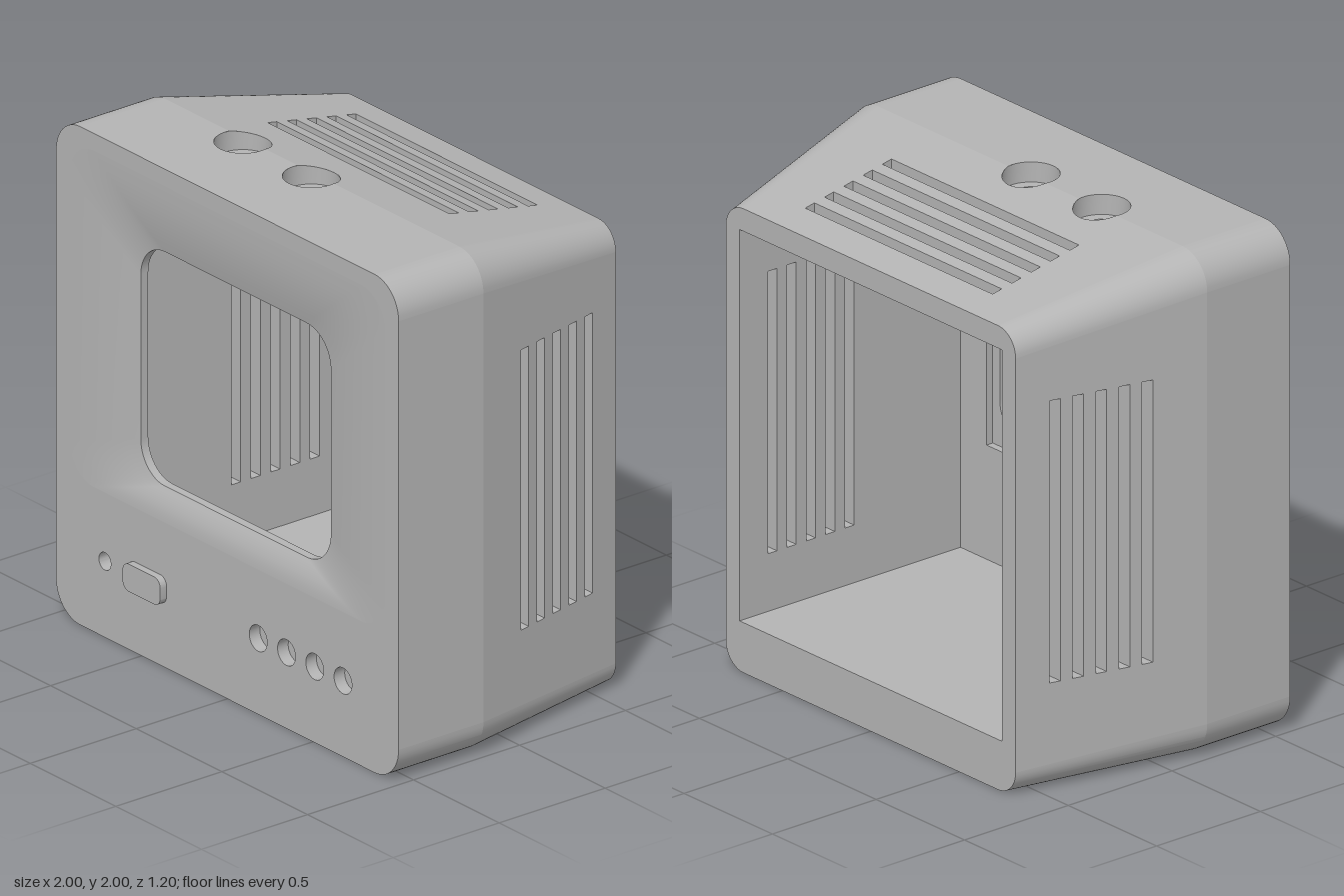
import * as THREE from 'three';
import { toCreasedNormals } from 'three/addons/utils/BufferGeometryUtils.js';

const FRONT = 0.57, BEND = 0.17, BACK = -0.6;      // depth stations of the shell
const CEILING = 1.76, FLOOR = 0.2, INNER = 0.742;  // inner box
const INNER_FRONT = 0.465, REBATE = 0.495, RIM = 0.53;

export function createModel() {
  const model = new THREE.Group();
  const plastic = new THREE.MeshStandardMaterial({ color: 0xb4b4b4, side: THREE.DoubleSide });
  plastic.name = 'greyPlastic';

  const add = (name, geo, crease = 0.2) => {
    const mesh = new THREE.Mesh(toCreasedNormals(geo, crease), plastic);
    mesh.name = name;
    model.add(mesh);
    return mesh;
  };

  // Flat outline with holes, placed in space by map(u, v)
  const panel = (name, shape, holes, map) => {
    const s = Array.isArray(shape) ? new THREE.Shape(shape) : shape;
    s.holes = holes.map((h) => new THREE.Path(h));
    const geo = new THREE.ShapeGeometry(s, 24);
    const p = geo.attributes.position;
    for (let i = 0; i < p.count; i++) p.setXYZ(i, ...map(p.getX(i), p.getY(i)));
    return add(name, geo);
  };

  // Skin across rows of points
  const loft = (name, rows, closed = true, crease = 0.2) => {
    const n = rows[0].length, index = [];
    for (let r = 0; r < rows.length - 1; r++) {
      for (let i = 0; i < (closed ? n : n - 1); i++) {
        const j = (i + 1) % n, a = r * n, b = a + n;
        index.push(a + i, a + j, b + i, a + j, b + j, b + i);
      }
    }
    const geo = new THREE.BufferGeometry();
    geo.setAttribute('position', new THREE.Float32BufferAttribute(rows.flat(2), 3));
    geo.setIndex(index);
    geo.computeVertexNormals();
    return add(name, geo, crease);
  };
  // Wall of an opening between two placements of one outline
  const wall = (name, pts, mapA, mapB) =>
    loft(name, [mapA, mapB].map((m) => pts.map((p) => m(p.x, p.y))));

  const V = (x, y) => new THREE.Vector2(x, y);
  const rect = (x0, x1, y0, y1) => [V(x0, y0), V(x1, y0), V(x1, y1), V(x0, y1)];
  const arc = (cx, cy, r, from, to, n) => Array.from({ length: n + 1 }, (_, i) => {
    const a = from + (to - from) * i / n;
    return V(cx + r * Math.cos(a), cy + r * Math.sin(a));
  });
  const circle = (cx, cy, r) => arc(cx, cy, r, 0, Math.PI * 2, 32).slice(0, -1);
  // Four corner arcs, counter-clockwise from the upper right
  const corners = (x0, x1, y0, y1, r) => [
    [x1 - r, y1 - r], [x0 + r, y1 - r], [x0 + r, y0 + r], [x1 - r, y0 + r],
  ].map(([x, y], k) => arc(x, y, r, k * Math.PI / 2, (k + 1) * Math.PI / 2, 12));
  const roundRect = (...a) => corners(...a).flat();

  const atZ = (z) => (x, y) => [x, y, z];
  const atY = (y) => (x, z) => [x, y, z];
  const atX = (x) => (z, y) => [x, y, z];
  const taper = (z) => Math.max(0, (BEND - z) / (BEND - BACK));
  const roof = (x, z) => [x, 2 - 0.15 * taper(z), z];
  const flank = (s) => (z, y) => [s * (1 - 0.18 * taper(z)), y, z];

  // Rounded outer edges
  const frontOutline = [-1, 1, 0, 2, 0.14], backOutline = [-0.82, 0.82, 0, 1.85, 0.1];
  const sections = [[frontOutline, FRONT], [frontOutline, BEND], [backOutline, BACK]];
  for (let k = 0; k < 4; k++) {
    loft('roundedEdge', sections.map(([o, z]) => corners(...o)[k].map((p) => [p.x, p.y, z])), false);
  }

  // Front plate with dished surround and control openings
  const win = [-0.555, 0.555, 0.7, 1.64, 0.14];
  const dish = [-0.92, 0.92, 0.58, 1.93, 0.14];
  const dials = [0.18, 0.345, 0.51, 0.675].map((x) => circle(x, 0.305, 0.052));
  dials.push(circle(-0.715, 0.305, 0.035));
  panel('frontPlate', roundRect(...frontOutline), [roundRect(...dish), ...dials], atZ(FRONT));
  for (const d of dials) {
    wall('controlRecess', d, atZ(FRONT), atZ(FRONT - 0.05));
    panel('controlRecessFloor', d, [], atZ(FRONT - 0.05));
  }
  const inner = roundRect(...win), outer = roundRect(...dish);
  const rings = [0, 0.15, 0.3, 0.45, 0.6, 0.8, 1].map((t) => inner.map((p, i) => {
    const q = p.clone().lerp(outer[i], t);
    return [q.x, q.y, RIM + (FRONT - RIM) * (1 - (1 - t) ** 2)];
  }));
  loft('screenSurround', rings, true, 0.6);
  wall('screenRim', inner, atZ(RIM), atZ(REBATE));

  // Raised button
  const button = roundRect(-0.575, -0.355, 0.253, 0.363, 0.035);
  wall('buttonSide', button, atZ(FRONT), atZ(0.6));
  panel('buttonFace', button, [], atZ(0.6));

  // Roof, split at the bend through the two stepped wells
  const wellX = [-0.38, 0.02], wellZ = 0.19, wellR = 0.107, boreR = 0.063, ledge = 1.92;
  const dip = Math.asin((BEND - wellZ) / wellR);
  const bendEdge = (front) => wellX.flatMap((x) =>
    arc(x, wellZ, wellR, Math.PI - dip, front ? dip : 2 * Math.PI + dip, 20));
  panel('roofFront', [V(-0.86, BEND), ...bendEdge(true), V(0.86, BEND), V(0.86, FRONT), V(-0.86, FRONT)], [], roof);
  const ventZ = [-0.07, -0.163, -0.256, -0.349, -0.442];
  const roofVents = ventZ.map((z) => rect(-0.53, 0.53, z - 0.022, z + 0.022));
  panel('roofBack', [V(-0.86, BEND), ...bendEdge(false), V(0.86, BEND), V(0.72, BACK), V(-0.72, BACK)], roofVents, roof);
  for (const v of roofVents) wall('roofVent', v, roof, atY(CEILING));
  const bores = wellX.map((x) => circle(x, wellZ, boreR));
  wellX.forEach((x, i) => {
    const well = circle(x, wellZ, wellR);
    wall('roofWell', well, roof, atY(ledge));
    panel('roofWellLedge', well, [bores[i]], atY(ledge));
    wall('roofBore', bores[i], atY(ledge), atY(CEILING));
  });

  // Vented sides, outside and inside
  const sideVents = ventZ.map((z) => rect(z - 0.022, z + 0.022, 0.43, 1.555));
  for (const s of [-1, 1]) {
    panel('sideFront', rect(BEND, FRONT, 0.14, 1.86), [], flank(s));
    panel('sideBack', [V(BEND, 0.14), V(BEND, 1.86), V(BACK, 1.75), V(BACK, 0.1)], sideVents, flank(s));
    panel('innerSide', rect(BACK, INNER_FRONT, FLOOR, CEILING), sideVents, atX(s * INNER));
    for (const v of sideVents) wall('sideVent', v, flank(s), atX(s * INNER));
  }

  // Underside with a grip pocket
  const pocket = rect(-0.24, 0.24, -0.26, 0.05);
  panel('underside', [V(-0.86, FRONT), V(0.86, FRONT), V(0.86, BEND), V(0.72, BACK), V(-0.72, BACK), V(-0.86, BEND)],
    [pocket], atY(0));
  wall('pocketSide', pocket, atY(0), atY(0.12));
  panel('pocketRoof', pocket, [], atY(0.12));

  // Inner box, back rim and screen rebate
  const cavity = rect(-INNER, INNER, FLOOR, CEILING);
  const rebate = rect(-0.595, 0.595, 0.655, 1.685);
  panel('backRim', roundRect(...backOutline), [cavity], atZ(BACK));
  panel('innerFloor', rect(-INNER, INNER, BACK, INNER_FRONT), [], atY(FLOOR));
  panel('innerCeiling', rect(-INNER, INNER, BACK, INNER_FRONT), [...roofVents, ...bores], atY(CEILING));
  panel('innerFront', cavity, [rebate], atZ(INNER_FRONT));
  wall('rebateSide', rebate, atZ(INNER_FRONT), atZ(REBATE));
  panel('rebateFace', rebate, [inner], atZ(REBATE));

  return model;
}
